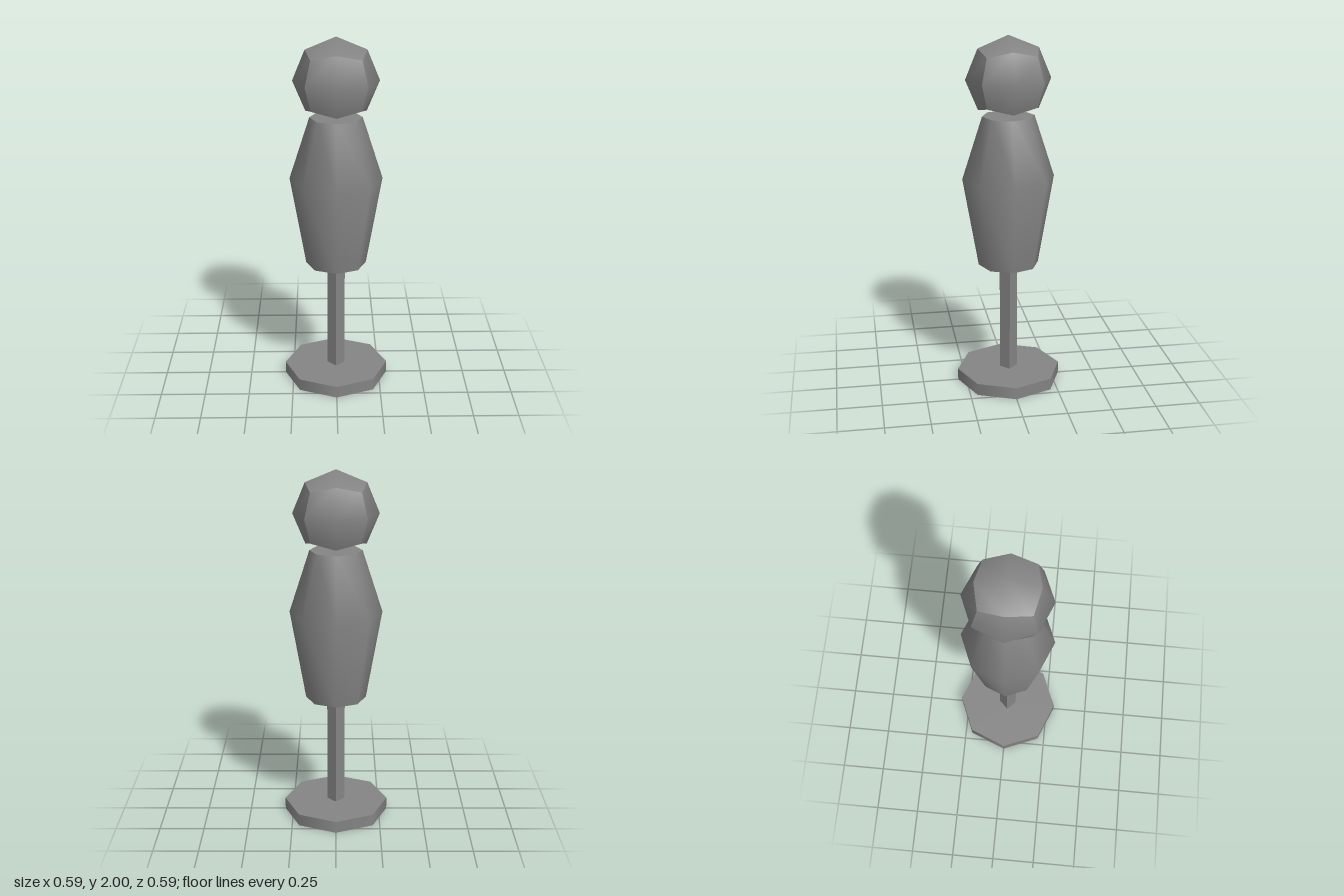
import * as THREE from 'three';

const makeMaterial = () => new THREE.MeshStandardMaterial({ color: 0x858585, side: THREE.DoubleSide });

function addPart(group, name, geometry, y, material = makeMaterial()) {
  const mesh = new THREE.Mesh(geometry, material);
  mesh.name = name;
  mesh.position.y = y;
  group.add(mesh);
}

// Flat lid with its first corner on the x axis
const lid = (radius, sides) => new THREE.CircleGeometry(radius, sides).rotateX(-Math.PI / 2);

// Cube subdivided once and pushed onto a sphere; each side is smooth, the
// edges between sides stay sharp and the underside is left open
function roundedCubeHead(radius) {
  const box = new THREE.BoxGeometry(1, 1, 1, 2, 2, 2);
  const { position, normal } = box.attributes;
  const p = new THREE.Vector3(), n = new THREE.Vector3();
  for (let i = 0; i < position.count; i++) {
    p.fromBufferAttribute(position, i);
    n.fromBufferAttribute(normal, i).multiplyScalar(0.32).addScaledVector(p, 0.36).normalize();
    normal.setXYZ(i, n.x, n.y, n.z);
    p.setLength(radius);
    position.setXYZ(i, p.x, p.y, p.z);
  }
  const { start, count } = box.groups[3]; // the -y side
  const index = Array.from(box.index.array);
  index.splice(start, count);
  box.setIndex(index);
  box.clearGroups();
  return box;
}

export function createModel() {
  const model = new THREE.Group();
  model.name = 'dummyOnStand';

  // Octagonal foot plate, hollow underneath
  const base = new THREE.Group();
  base.name = 'base';
  const baseRadius = 0.297, baseHeight = 0.068;
  const rim = new THREE.CylinderGeometry(baseRadius, baseRadius, baseHeight, 8, 1, true);
  addPart(base, 'baseRim', rim, baseHeight / 2);
  addPart(base, 'baseTop', lid(baseRadius, 8), baseHeight);
  model.add(base);

  // Square post with its corners on the axes, reaching just through the plate
  const post = new THREE.Group();
  post.name = 'post';
  const postRadius = 0.05, postBottom = 0.045, postTop = 0.688;
  const postMaterial = makeMaterial();
  postMaterial.flatShading = true;
  const shaft = new THREE.CylinderGeometry(postRadius, postRadius, postTop - postBottom, 4, 1, true);
  addPart(post, 'postShaft', shaft, (postBottom + postTop) / 2, postMaterial);
  addPart(post, 'postTop', lid(postRadius, 4), postTop);
  model.add(post);

  // Eight-sided torso, widest at the shoulders, closed at the neck, open below
  const torso = new THREE.Group();
  torso.name = 'torso';
  const neckRadius = 0.145, neckHeight = 1.562;
  const profile = [[0.17, 0.71], [0.257, 1.215], [neckRadius, neckHeight]]
    .map(([r, y]) => new THREE.Vector2(r, y));
  addPart(torso, 'torsoShell', new THREE.LatheGeometry(profile, 8), 0);
  addPart(torso, 'neckTop', lid(neckRadius, 8), neckHeight);
  model.add(torso);

  // Head floating above the torso
  const headRadius = 0.235;
  addPart(model, 'head', roundedCubeHead(headRadius), 2 - headRadius);

  return model;
}
